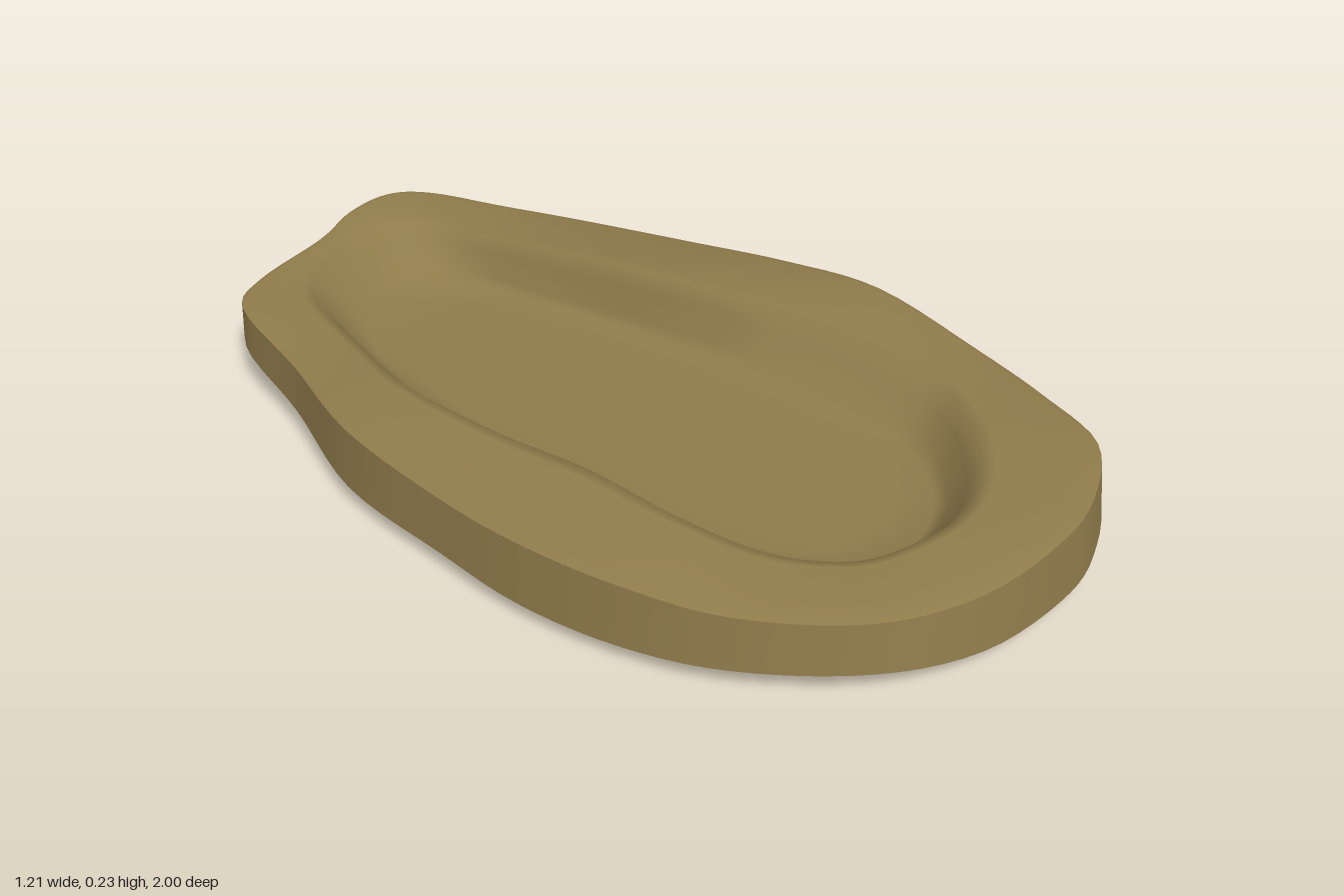
import * as THREE from 'three';

const N = 120;

// Matching stations run from the front, round by +x, to the back and home by -x.
// Outer edge: x, z, height of the upper edge, height of the lower edge
const EDGE = [
  [0.05, 1.0, 0.19, 0.045], [0.22, 0.985, 0.19, 0.045], [0.4, 0.9, 0.19, 0.055], [0.5, 0.72, 0.18, 0.062],
  [0.575, 0.5, 0.18, 0.045], [0.605, 0.22, 0.22, 0.042], [0.597, -0.03, 0.205, 0.055], [0.555, -0.3, 0.185, 0.04],
  [0.485, -0.57, 0.18, 0.055], [0.415, -0.76, 0.185, 0.085], [0.34, -0.92, 0.2, 0.11], [0.25, -0.985, 0.215, 0.13],
  [0.13, -1.0, 0.215, 0.13], [0, -0.98, 0.205, 0.125], [-0.22, -0.965, 0.205, 0.12], [-0.33, -0.91, 0.2, 0.1],
  [-0.415, -0.67, 0.185, 0.07], [-0.535, -0.4, 0.195, 0.05], [-0.585, -0.1, 0.185, 0.05], [-0.607, 0.13, 0.19, 0.042],
  [-0.59, 0.37, 0.19, 0.045], [-0.53, 0.6, 0.185, 0.06], [-0.38, 0.83, 0.185, 0.068], [-0.18, 0.955, 0.185, 0.052],
];
// Lip of the hollow: x, z, height
const LIP = [
  [0, 0.79, 0.205], [0.12, 0.76, 0.205], [0.23, 0.69, 0.205], [0.33, 0.59, 0.2], [0.39, 0.48, 0.2], [0.41, 0.2, 0.225],
  [0.36, -0.02, 0.232], [0.315, -0.27, 0.23], [0.285, -0.52, 0.21], [0.26, -0.7, 0.195], [0.23, -0.83, 0.2], [0.16, -0.91, 0.2],
  [0.08, -0.93, 0.2], [0, -0.93, 0.198], [-0.12, -0.89, 0.195], [-0.2, -0.8, 0.195], [-0.27, -0.62, 0.2], [-0.35, -0.4, 0.22],
  [-0.37, -0.12, 0.225], [-0.36, 0.12, 0.228], [-0.37, 0.35, 0.222], [-0.34, 0.55, 0.205], [-0.25, 0.7, 0.2], [-0.12, 0.77, 0.205],
];
// Foot of the hollow's wall: x, z
const FLOOR = [
  [0, 0.69], [0.1, 0.67], [0.18, 0.62], [0.25, 0.54], [0.28, 0.43], [0.29, 0.18],
  [0.29, -0.04], [0.27, -0.28], [0.24, -0.5], [0.22, -0.64], [0.18, -0.73], [0.12, -0.77],
  [0.06, -0.78], [0, -0.77], [-0.08, -0.74], [-0.15, -0.67], [-0.2, -0.54], [-0.24, -0.35],
  [-0.25, -0.1], [-0.25, 0.12], [-0.26, 0.34], [-0.23, 0.5], [-0.17, 0.62], [-0.09, 0.67],
];

// Smooth closed ring through the stations
function ring(stations, height) {
  const pts = stations.map((s) => new THREE.Vector3(s[0], height(s), s[1]));
  const curve = new THREE.CatmullRomCurve3(pts, true, 'catmullrom', 0.5);
  return Array.from({ length: N }, (_, i) => curve.getPoint(i / N));
}

const mix = (a, b, t, lift = 0) => a.map((p, i) => {
  const q = p.clone().lerp(b[i], t);
  q.y += lift;
  return q;
});

const scaled = (r, s, ys, add = 0) => r.map((p) => new THREE.Vector3(p.x * s, p.y * ys + add, p.z * s));

// Skin joining a list of rings in order
function loft(rings) {
  const pos = [];
  const index = [];
  rings.forEach((r) => r.forEach((p) => pos.push(p.x, p.y, p.z)));
  for (let k = 0; k < rings.length - 1; k++) {
    for (let i = 0; i < N; i++) {
      const j = (i + 1) % N;
      const a = k * N;
      const b = a + N;
      index.push(a + i, a + j, b + j, a + i, b + j, b + i);
    }
  }
  const geo = new THREE.BufferGeometry();
  geo.setAttribute('position', new THREE.Float32BufferAttribute(pos, 3));
  geo.setIndex(index);
  geo.computeVertexNormals();
  return geo;
}

export function createModel() {
  const group = new THREE.Group();
  group.name = 'hollowedSlab';
  const earth = new THREE.MeshStandardMaterial({ name: 'earthBrown', color: 0x8f7b4b });
  const dark = new THREE.MeshStandardMaterial({ name: 'darkUnderside', color: 0x1a0808 });

  const lower = ring(EDGE, (s) => s[3]);
  // The upper edge leans in at the sides and front, and stands upright at the back
  const upper = ring(EDGE, (s) => s[2]).map((p) => new THREE.Vector3(p.x * 0.985, p.y, p.z * (p.z > 0 ? 0.985 : 1)));
  const lip = ring(LIP, (s) => s[2]);
  const foot = ring(FLOOR, () => 0.085);

  const add = (name, rings, material) => {
    const mesh = new THREE.Mesh(loft(rings), material);
    mesh.name = name;
    group.add(mesh);
  };

  // Shallow domed underside
  add('underside', [
    scaled(lower, 0.001, 0), scaled(lower, 0.45, 0.02), scaled(lower, 0.66, 0.12),
    scaled(lower, 0.8, 0.3), scaled(lower, 0.9, 0.5), scaled(lower, 0.97, 0.78), lower,
  ], dark);

  // Outer wall
  add('outerWall', [lower, mix(lower, upper, 0.5), upper], earth);

  // Rounded rim, sloping basin wall and gently dished floor
  add('rimAndBasin', [
    upper,
    mix(upper, lip, 0.12, 0.006),
    mix(upper, lip, 0.5, 0.006),
    mix(upper, lip, 0.88, 0.004),
    lip,
    mix(lip, foot, 0.3, -0.006),
    mix(lip, foot, 0.7, -0.012),
    foot,
    scaled(foot, 0.86, 0, 0.077),
    scaled(foot, 0.5, 0, 0.074),
    scaled(foot, 0.001, 0, 0.074),
  ], earth);

  return group;
}
